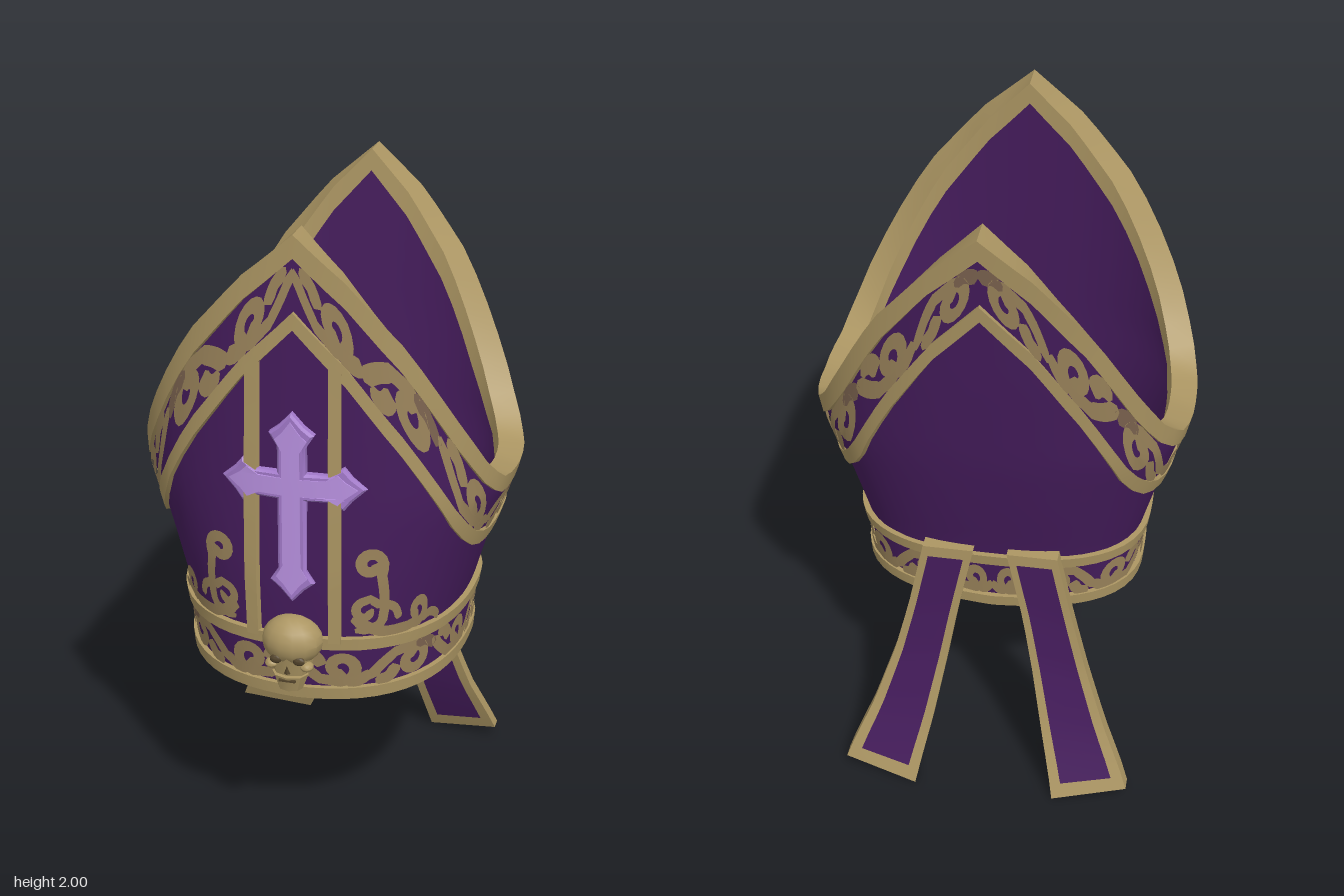
import * as THREE from 'three';
import { mergeGeometries, toCreasedNormals } from 'three/addons/utils/BufferGeometryUtils.js';

const mat = (name, color) => new THREE.MeshStandardMaterial({ name, color, side: THREE.DoubleSide });
const TAU = Math.PI * 2, CZ = -0.05;

// Linear lookup in rows of [key, value, value...]
function look(table, key, col = 1) {
  if (key <= table[0][0]) return table[0][col];
  for (let i = 1; i < table.length; i++) {
    const a = table[i - 1], b = table[i];
    if (key <= b[0]) return a[col] + (b[col] - a[col]) * (key - a[0]) / (b[0] - a[0]);
  }
  return table[table.length - 1][col];
}

// Height, half width, front depth, back depth
const PROFILE = [
  [0.6, 0.405, 0.42, 0.32], [0.8, 0.42, 0.44, 0.345], [1.0, 0.475, 0.446, 0.39],
  [1.2, 0.54, 0.44, 0.43], [1.5, 0.56, 0.428, 0.468], [2.0, 0.57, 0.41, 0.52],
];
// Degrees from the nearer peak, rim height, vertical stretch of the border
const RIM = [
  [0, 2.0, 1.45], [18, 1.87, 1.6], [35.5, 1.69, 1.8], [53, 1.43, 1.8],
  [64, 1.29, 1.45], [74, 1.225, 1.15], [90, 1.21, 1],
];
const fromPeak = (a) => Math.acos(Math.min(1, Math.abs(Math.cos(a)))) * 180 / Math.PI;
const rim = (a) => look(RIM, fromPeak(a), 1);
const stretch = (a) => look(RIM, fromPeak(a), 2);
const below = (d) => (a) => rim(a) - d * stretch(a);
const thick = (a) => 0.056 + 0.012 * Math.cos(a) ** 2;

// Point on the hat wall: angle from the front, height, outward offset
function wall(a, y, off = 0) {
  const s = Math.sin(a), c = Math.cos(a), n = c > 0 ? 2.45 : 2.6;
  const depth = c > 0 ? look(PROFILE, y, 2) - CZ : look(PROFILE, y, 3) + CZ;
  const r = off + (Math.abs(s / look(PROFILE, y, 1)) ** n + Math.abs(c / depth) ** n) ** (-1 / n);
  return [r * s, y, CZ + r * c];
}

// Grid of points fn(i, j) joined into a surface
function grid(nu, nv, fn) {
  const pos = [], idx = [];
  for (let i = 0; i <= nu; i++) for (let j = 0; j <= nv; j++) {
    pos.push(...fn(i, j));
    if (i < nu && j < nv) {
      const p = i * (nv + 1) + j, q = p + nv + 1;
      idx.push(p, q, q + 1, p, q + 1, p + 1);
    }
  }
  const g = new THREE.BufferGeometry();
  g.setAttribute('position', new THREE.Float32BufferAttribute(pos, 3));
  g.setIndex(idx);
  g.computeVertexNormals();
  return g;
}

// Ring swept round the hat from a section of [height, offset] points
const ring = (section, n = 64) => grid(n, section(0).length - 1, (i, j) => {
  const a = i / n * TAU, [y, off] = section(a)[j];
  return wall(a, y, off);
});
const trim = (lo, hi, off) => ring((a) => [[lo(a), -0.005], [lo(a), off], [hi(a), off], [hi(a), -0.005]]);

// Flat ribbon along plane points, tapered at its ends, mapped onto the hat
function ribbon(pts, w, map) {
  const n = pts.length - 1;
  return grid(n, 1, (i, j) => {
    const p = pts[Math.max(0, i - 1)], q = pts[Math.min(n, i + 1)];
    const dx = q[0] - p[0], dy = q[1] - p[1], l = Math.hypot(dx, dy) || 1;
    const h = (j ? -0.5 : 0.5) * w * (i === 0 ? 0.4 : i === n ? 0.7 : 1);
    return map(pts[i][0] - dy / l * h, pts[i][1] + dx / l * h);
  });
}
const curve = (pts, n = 16) => new THREE.CatmullRomCurve3(pts.map(([x, y]) => new THREE.Vector3(x, y, 0)))
  .getPoints(n).map((p) => [p.x, p.y]);
const spiral = (cx, cy, R, turns, start) => Array.from({ length: 19 }, (_, i) => {
  const k = i / 18, a = start + k * turns * TAU, r = R * (1 - 0.65 * k);
  return [cx + r * Math.cos(a), cy + r * Math.sin(a)];
});

// Row of scrolls round the hat, mirrored left and right; returns scrolls and worn leaves
function scrolls(count, radius, mid, size) {
  const curls = [], leaves = [];
  for (const sg of [-1, 1]) for (let k = 0; k < count; k++) {
    const a0 = (k + 0.5) * Math.PI / count, f = k % 2 ? -1 : 1;
    const map = (x, t) => {
      const a = sg * (a0 + x / radius);
      return wall(a, mid(a) + f * t * size(a), 0.01);
    };
    curls.push(
      ribbon([...curve([[-0.1, 0.035], [-0.065, -0.005], [-0.03, -0.035]], 6), ...spiral(0.022, 0, 0.042, 1.1, -Math.PI / 2)], 0.031, map),
      ribbon(curve([[-0.08, 0.045], [-0.045, 0.035], [-0.025, 0.005]], 6), 0.036, map));
    (k % 2 ? leaves : curls).push(ribbon(curve([[0.03, -0.04], [0.065, -0.04], [0.095, -0.015]], 6), 0.032, map));
  }
  return [mergeGeometries(curls), mergeGeometries(leaves)];
}

export function createModel() {
  const purple = mat('purple cloth', 0x451c5c), gold = mat('antique gold', 0xac9663);
  const dull = mat('dull gold embroidery', 0x9c855c), worn = mat('worn embroidery', 0x7d6450);
  const dark = mat('dark socket', 0x54452c);
  const lilac = mat('lilac', 0xa37acb), pale = mat('pale lilac', 0xba92e2);
  const hat = new THREE.Group();
  hat.name = 'mitre';
  const add = (name, geo, material, parent = hat, crease = 0.6) => {
    const m = new THREE.Mesh(toCreasedNormals(geo, crease), material);
    m.name = name;
    parent.add(m);
    return m;
  };
  const at = (y) => () => y;

  // Cloth wall, outside and inside
  const rows = (a, off) => Array.from({ length: 19 }, (_, j) => [0.625 + (rim(a) - 0.635) * j / 18, off]);
  add('outerCloth', ring((a) => rows(a, 0)), purple);
  add('innerLining', ring((a) => rows(a, -thick(a)).reverse()), purple);

  // Gold rim and border trims
  add('rim', ring((a) => {
    const lo = below(0.045)(a), hi = rim(a), t = thick(a);
    return [[lo, -0.005], [lo, 0.012], [hi, 0.012], [hi, -t - 0.008], [lo, -t - 0.008], [lo, -t + 0.005]];
  }), gold);
  add('rimLowerTrim', trim(below(0.182), below(0.148), 0.014), gold);
  add('bandTopTrim', trim(at(0.778), at(0.815), 0.018), gold);
  add('bottomTrim', ring((a) => {
    const lo = 0.6 + 0.02 * Math.abs(Math.sin(a)), hi = lo + 0.038, t = thick(a);
    return [[hi, -0.005], [hi, 0.016], [lo, 0.016], [lo, -t], [0.63, -t]];
  }), gold);

  // Embroidered scrolls
  for (const [name, [curls, leaves]] of [
    ['rim', scrolls(8, 0.5, below(0.0965), (a) => 0.9 * stretch(a))],
    ['band', scrolls(7, 0.42, at(0.712), at(1.15))],
  ]) {
    add(name + 'Scrolls', curls, dull);
    add(name + 'WornLeaves', leaves, worn);
  }

  // Front panel trims and corner scrolls
  for (const sg of [-1, 1]) {
    const side = sg > 0 ? 'left' : 'right';
    add(side + 'PanelTrim', grid(3, 14, (i, j) => {
      const a = sg * [0.2, 0.205, 0.275, 0.28][i];
      return wall(a, 0.8 + (below(0.165)(a) - 0.8) * j / 14, i % 3 ? 0.018 : -0.005);
    }), gold);
    const map = (x, y) => wall(sg * Math.atan2(x, 0.46), y, 0.011);
    add(side + 'CornerScrolls', mergeGeometries([
      ribbon([...curve([[0.17, 0.84], [0.25, 0.86], [0.26, 0.95], [0.25, 1.02]], 10), ...spiral(0.215, 1.055, 0.042, 1.1, -0.3)], 0.034, map),
      ribbon([...curve([[0.16, 0.88], [0.25, 0.835], [0.36, 0.835]], 8), ...spiral(0.41, 0.885, 0.048, 1.1, -2.0)], 0.036, map),
      ribbon([...curve([[0.25, 0.92], [0.215, 0.945]], 4), ...spiral(0.2, 0.905, 0.034, 0.8, 1.6)], 0.028, map),
      ribbon(curve([[0.25, 0.93], [0.3, 0.91], [0.32, 0.87]], 8), 0.03, map),
      ribbon(curve([[0.43, 0.845], [0.5, 0.86], [0.58, 0.83]], 8), 0.034, map),
    ]), dull);
  }

  // Cross with pointed, flared ends, bent to the front
  const cross = (w, flare, cut) => {
    const s = new THREE.Shape();
    [0.21, 0.2, 0.35, 0.2].forEach((len, k) => {
      const L = len - cut, q = -k * Math.PI / 2;
      [[-w, w], [-w, L - 0.09], [-flare, L - 0.055], [-flare * 0.55, L - 0.035], [0, L], [flare * 0.55, L - 0.035], [flare, L - 0.055], [w, L - 0.09]].forEach(([x, y], i) => {
        const px = x * Math.cos(q) - y * Math.sin(q), py = x * Math.sin(q) + y * Math.cos(q);
        if (k + i) s.lineTo(px, py); else s.moveTo(px, py);
      });
    });
    return s;
  };
  const bend = (g, z) => {
    const p = g.attributes.position;
    for (let i = 0; i < p.count; i++) p.setZ(i, p.getZ(i) + z - 0.8 * p.getX(i) ** 2);
    return g.translate(0, 1.285, 0);
  };
  add('cross', bend(new THREE.ExtrudeGeometry(cross(0.034, 0.056, 0), { depth: 0.018, bevelSize: 0.007, bevelThickness: 0.007, bevelSegments: 1 }), 0.437), lilac);
  add('crossFace', bend(new THREE.ExtrudeGeometry(cross(0.026, 0.046, 0.014), { depth: 0.004, bevelEnabled: false }), 0.461), pale);

  // Skull ornament
  const skull = new THREE.Group();
  skull.name = 'skull';
  hat.add(skull);
  const ball = (name, m, x, y, z, sx, sy, sz) => add(name, new THREE.SphereGeometry(1, 14, 10).scale(sx, sy, sz).translate(x, y, z), m, skull);
  ball('cranium', gold, 0, 0.805, 0.455, 0.09, 0.075, 0.076);
  add('face', new THREE.CylinderGeometry(0.076, 0.05, 0.1, 8).scale(1, 1, 0.75).translate(0, 0.745, 0.468), gold, skull);
  add('jaw', new THREE.CylinderGeometry(0.054, 0.036, 0.05, 8).scale(1, 1, 0.75).translate(0, 0.685, 0.482), gold, skull);
  add('nose', new THREE.ConeGeometry(0.011, 0.026, 3).scale(1, 1, 0.5).translate(0, 0.735, 0.518), dark, skull);
  add('mouth', new THREE.BoxGeometry(0.05, 0.006, 0.008).translate(0, 0.7, 0.518), dark, skull);
  for (const sg of [-1, 1]) {
    ball('eyeSocket', dark, sg * 0.034, 0.766, 0.514, 0.018, 0.014, 0.009);
    ball('cheekbone', gold, sg * 0.052, 0.74, 0.492, 0.02, 0.014, 0.022);
  }

  // Hanging straps: share of length, height, inner x, outer x, front z
  const STRAP = [
    [0, 0.84, 0.05, 0.2, -0.338], [0.28, 0.6, 0.1, 0.25, -0.343], [0.5, 0.42, 0.132, 0.295, -0.362],
    [0.74, 0.22, 0.17, 0.36, -0.412], [0.9, 0.09, 0.2, 0.415, -0.46], [1, 0.02, 0.215, 0.44, -0.49],
  ];
  const strap = (sg, v, u, d) => {
    const xi = look(STRAP, v, 2), xo = look(STRAP, v, 3);
    return [sg * (xi + (xo - xi) * u), look(STRAP, v, 1) + v * v * (0.04 * u - 0.02), look(STRAP, v, 4) + 0.04 * v * v * u - d];
  };
  for (const sg of [-1, 1]) {
    const g = new THREE.Group();
    g.name = sg > 0 ? 'leftStrap' : 'rightStrap';
    hat.add(g);
    const loop = [[0, 0], [1, 0], [1, 0.042], [0, 0.042], [0, 0]];
    add('strapBorder', mergeGeometries([
      grid(12, 4, (i, j) => strap(sg, i / 12, ...loop[j])),
      ...[0, 1].map((v) => grid(1, 1, (i, j) => strap(sg, v, i, j * 0.042))),
    ]), gold, g);
    for (const [name, d] of [['strapFrontCloth', -0.003], ['strapBackCloth', 0.045]])
      add(name, grid(12, 1, (i, j) => strap(sg, 0.04 + 0.9 * i / 12, j ? 0.85 : 0.15, d)), purple, g);
  }
  return hat;
}
